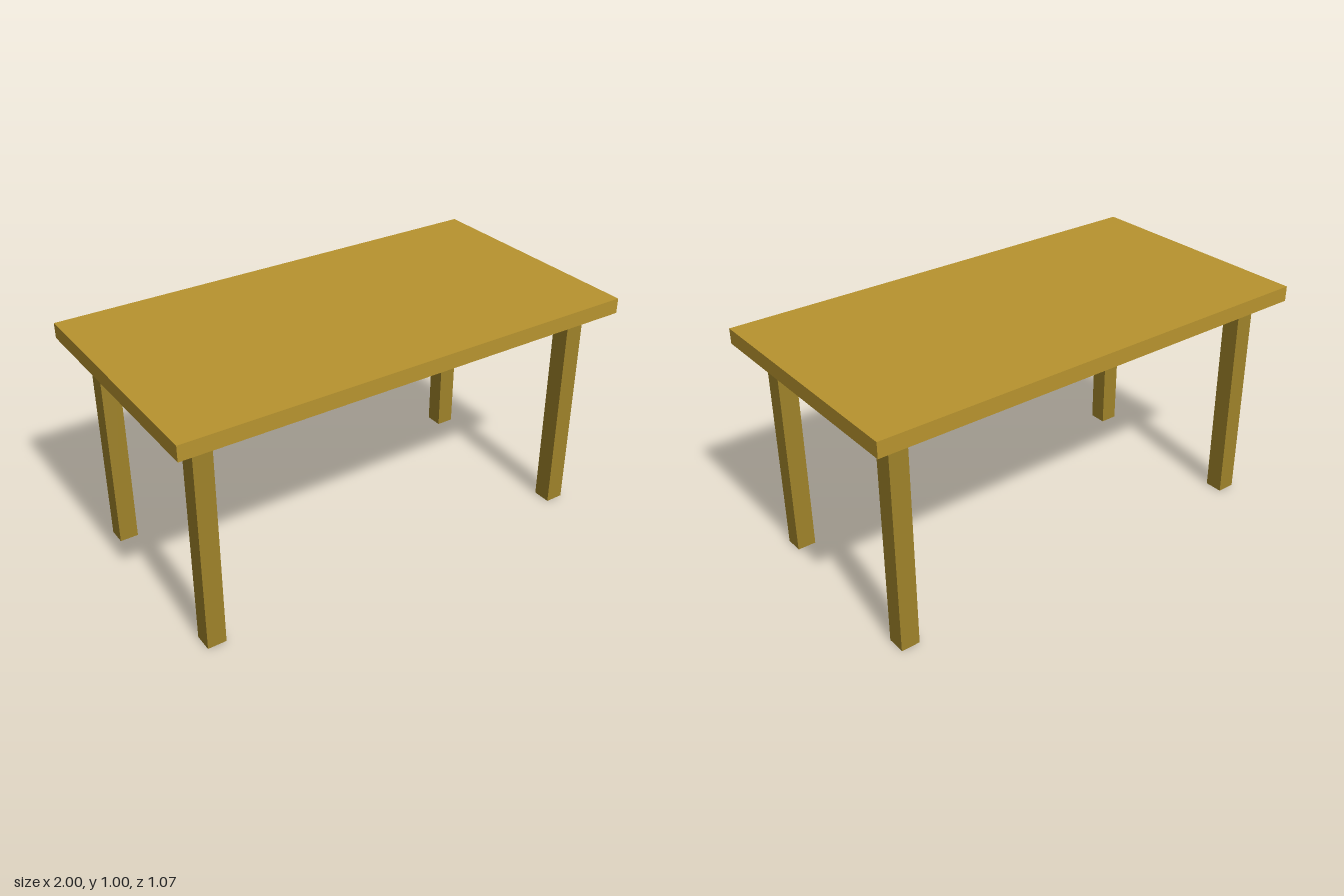
import * as THREE from 'three';

const HEIGHT = 1.0;
const TOP_THICKNESS = 0.065;
const LEG_WIDTH = 0.08;

function box(name, size, position, material) {
  const mesh = new THREE.Mesh(new THREE.BoxGeometry(...size), material);
  mesh.name = name;
  mesh.position.set(...position);
  return mesh;
}

export function createModel() {
  const table = new THREE.Group();
  table.name = 'table';

  const topWood = new THREE.MeshStandardMaterial({ color: 0xb8942f });
  const legWood = new THREE.MeshStandardMaterial({ color: 0x9f832a });

  // Flat rectangular slab
  table.add(box('tableTop', [2, TOP_THICKNESS, 1.066], [0, HEIGHT - TOP_THICKNESS / 2, 0], topWood));

  // Four square legs, inset from the corners
  const legHeight = HEIGHT - TOP_THICKNESS;
  for (const [side, sx] of [['Left', 1], ['Right', -1]]) {
    for (const [end, sz] of [['front', 1], ['back', -1]]) {
      table.add(box(`${end}${side}Leg`, [LEG_WIDTH, legHeight, LEG_WIDTH],
        [sx * 0.866, legHeight / 2, sz * 0.4], legWood));
    }
  }
  return table;
}
